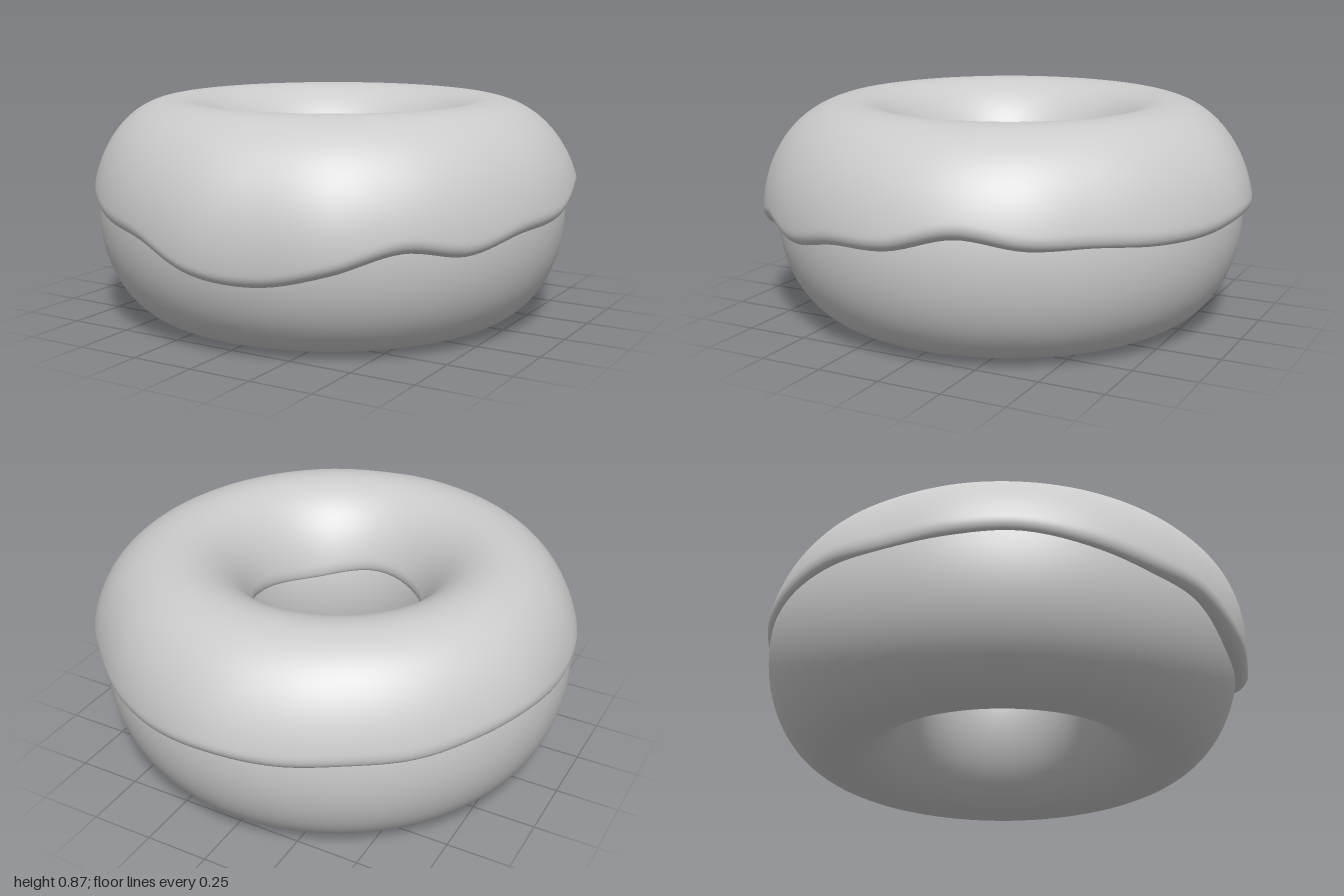
import * as THREE from 'three';

const RING = 0.64, TUBE_X = 0.302, TUBE_Y = 0.42; // ring radius and elliptical tube of the dough

// Values every 15 degrees around the ring, from +x towards +z
const EDGE_HEIGHT = [
  0.45, 0.435, 0.39, 0.42, 0.35, 0.3, 0.32, 0.41, 0.44, 0.485, 0.52, 0.51,
  0.5, 0.51, 0.5, 0.48, 0.48, 0.465, 0.465, 0.45, 0.455, 0.475, 0.475, 0.51];
const OUTER_RADIUS = [
  0.995, 0.985, 0.983, 0.99, 1.0, 0.985, 0.997, 0.985, 0.975, 0.97, 0.968, 0.97,
  0.963, 0.972, 0.967, 0.965, 0.967, 0.982, 1.0, 0.985, 0.975, 0.972, 0.995, 1.003];
// Values every 45 degrees for the edge inside the hole
const HOLE_HEIGHT = [0.55, 0.52, 0.56, 0.54, 0.53, 0.57, 0.52, 0.58];
const HOLE_RADIUS = [0.32, 0.325, 0.318, 0.315, 0.31, 0.318, 0.312, 0.3];

// Smooth periodic lookup in a table
function around(table, f) {
  const n = table.length, s = f * n, i = Math.floor(s), t = s - i;
  const at = (k) => table[(k + n) % n];
  const [a, b, c, d] = [at(i - 1), at(i), at(i + 1), at(i + 2)];
  return b + 0.5 * t * (c - a + t * (2 * a - 5 * b + 4 * c - d + t * (3 * (b - c) + d - a)));
}

// Icing: a shell over the dough with rounded lips along both wavy edges
function icingGeometry(segments = 192, rows = 72) {
  const positions = [], indices = [];
  const lip = 0.13, top = 0.026;
  for (let i = 0; i < segments; i++) {
    const f = i / segments, phi = f * Math.PI * 2;
    const tStart = Math.asin((around(EDGE_HEIGHT, f) - TUBE_Y) / TUBE_Y);
    const tEnd = Math.PI - Math.asin((around(HOLE_HEIGHT, f) - TUBE_Y) / TUBE_Y);
    const outer = around(OUTER_RADIUS, f) - RING - TUBE_X;
    const inner = RING - TUBE_X - around(HOLE_RADIUS, f);
    for (let j = 0; j <= rows; j++) {
      const u = j / rows;
      const eased = u - 0.85 * Math.sin(2 * Math.PI * u) / (2 * Math.PI);
      const t = tStart + (tEnd - tStart) * eased;
      const c = Math.cos(t), s = Math.sin(t);
      const thickness = top + ((c > 0 ? outer : inner) - top) * c * c;
      const d = Math.min(t - tStart, tEnd - t, lip) / lip;
      const offset = (thickness + 0.006) * Math.sqrt(Math.max(0, 1 - (1 - d) ** 2)) - 0.006;
      const normal = new THREE.Vector2(c / TUBE_X, s / TUBE_Y).normalize();
      const r = RING + TUBE_X * c + normal.x * offset;
      positions.push(r * Math.cos(phi), TUBE_Y * (1 + s) + normal.y * offset, r * Math.sin(phi));
      if (j < rows) {
        const a = i * (rows + 1) + j, b = ((i + 1) % segments) * (rows + 1) + j;
        indices.push(a, a + 1, b, b, a + 1, b + 1);
      }
    }
  }
  const geometry = new THREE.BufferGeometry();
  geometry.setAttribute('position', new THREE.Float32BufferAttribute(positions, 3));
  geometry.setIndex(indices);
  geometry.computeVertexNormals();
  return geometry;
}

export function createModel() {
  const group = new THREE.Group();
  group.name = 'donut';

  // Dough ring resting on the ground
  const doughGeometry = new THREE.TorusGeometry(RING, TUBE_X, 64, 128);
  doughGeometry.rotateX(Math.PI / 2).scale(1, TUBE_Y / TUBE_X, 1).translate(0, TUBE_Y, 0);
  const dough = new THREE.Mesh(doughGeometry, new THREE.MeshStandardMaterial({ color: 0xcccccc }));
  dough.name = 'dough';

  const icing = new THREE.Mesh(icingGeometry(),
    new THREE.MeshStandardMaterial({ color: 0xcccccc, side: THREE.DoubleSide }));
  icing.name = 'icing';

  // The icing bulges unevenly, so the dough sits slightly off centre
  dough.position.x = icing.position.x = -0.018;
  group.add(dough, icing);
  return group;
}
